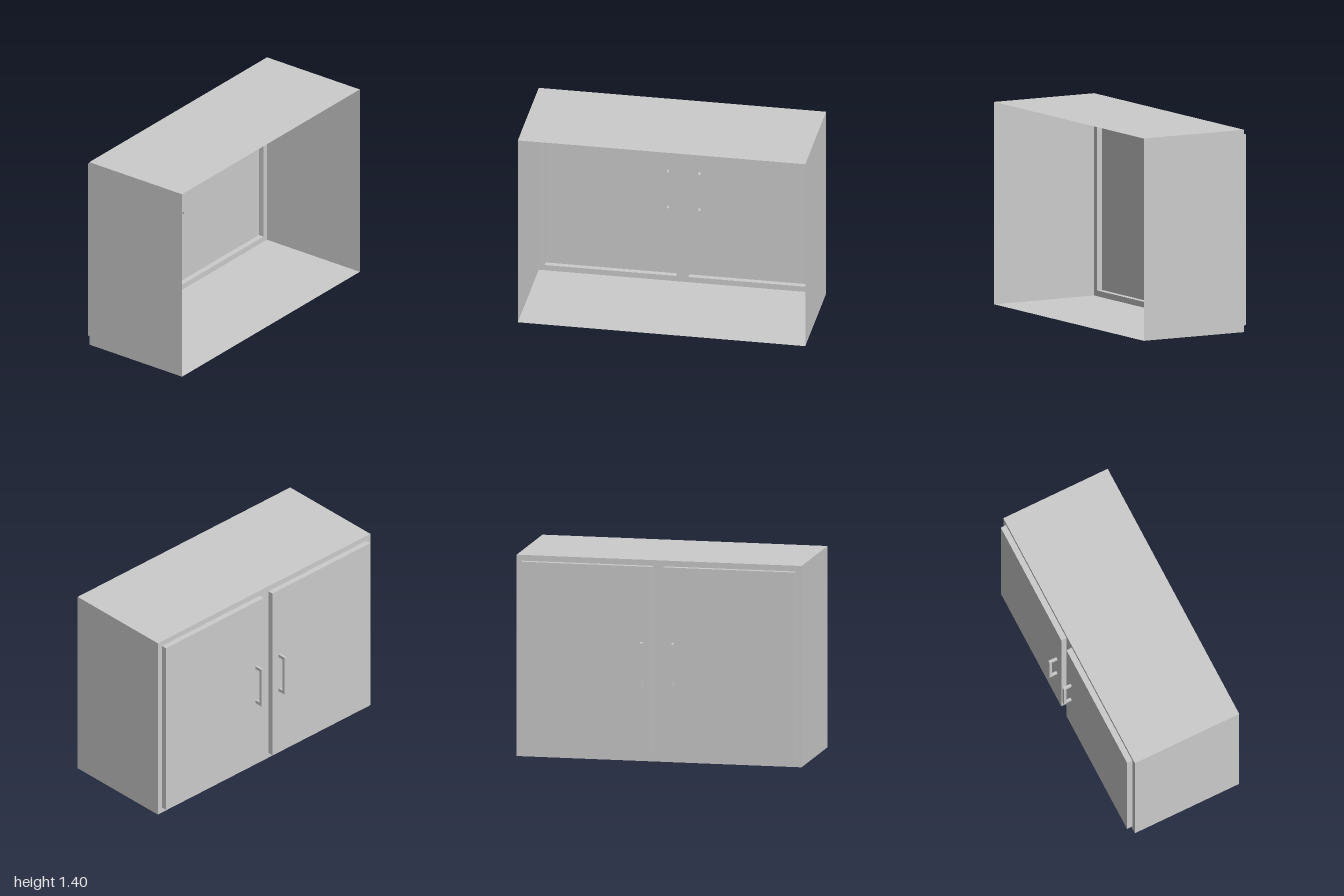
import * as THREE from 'three';

const material = new THREE.MeshStandardMaterial({ color: 0xcccccc, side: THREE.DoubleSide, flatShading: true });

const FRAME_X = -0.35, DOOR_X = -0.39, OPEN_X = 0.45, GRIP_X = -0.45;
const HEIGHT = 1.4, DEPTH = 2;
const door = { near: 0.04, far: 0.96, bottom: 0.04, top: 1.36 };
const grip = { near: 0.1, far: 0.117, bottom: 0.535, top: 0.835, bar: 0.023 };

function part(name, geometry) {
  const mesh = new THREE.Mesh(geometry, material);
  mesh.name = name;
  return mesh;
}

// Removes the triangles lying in the plane x = value
function openAt(geometry, value) {
  const g = geometry.index ? geometry.toNonIndexed() : geometry;
  const p = g.attributes.position, kept = [];
  for (let i = 0; i < p.count; i += 3) {
    const corners = [i, i + 1, i + 2];
    if (corners.every((c) => Math.abs(p.getX(c) - value) < 1e-4)) continue;
    for (const c of corners) kept.push(p.getX(c), p.getY(c), p.getZ(c));
  }
  const result = new THREE.BufferGeometry();
  result.setAttribute('position', new THREE.Float32BufferAttribute(kept, 3));
  result.computeVertexNormals();
  return result;
}

// Rectangular sleeve running along x, open at both ends
function sleeve(x0, x1, y0, y1, z0, z1) {
  const box = new THREE.BoxGeometry(x1 - x0, y1 - y0, z1 - z0);
  box.translate((x0 + x1) / 2, (y0 + y1) / 2, (z0 + z1) / 2);
  return openAt(openAt(box, x0), x1);
}

function rectangle(z0, z1, y0, y1, Type = THREE.Path) {
  return new Type([[z0, y0], [z1, y0], [z1, y1], [z0, y1]].map(([z, y]) => new THREE.Vector2(z, y)));
}

// Flat sheet facing -x, with rectangular holes
function sheet(x, outline, holes) {
  const shape = rectangle(...outline, THREE.Shape);
  shape.holes = holes.map((h) => rectangle(...h));
  return new THREE.ShapeGeometry(shape).rotateY(-Math.PI / 2).translate(x, 0, 0);
}

// Orders a z range for the door on the given side
function span(side, near, far) {
  return side > 0 ? [near, far] : [-far, -near];
}

function makeDoor(side) {
  const group = new THREE.Group();
  group.name = side > 0 ? 'frontDoor' : 'backDoor';
  const [z0, z1] = span(side, door.near, door.far);
  const [g0, g1] = span(side, grip.near, grip.far);

  // Raised hollow door with small openings behind the handle legs
  group.add(part('doorEdges', sleeve(DOOR_X, FRAME_X, door.bottom, door.top, z0, z1)));
  group.add(part('doorPanel', sheet(DOOR_X, [z0, z1, door.bottom, door.top], [
    [g0, g1, grip.bottom, grip.bottom + grip.bar],
    [g0, g1, grip.top - grip.bar, grip.top],
  ])));

  // Bracket handle
  const inner = GRIP_X + 0.02;
  const bracket = new THREE.Shape([
    [DOOR_X, grip.bottom], [DOOR_X, grip.bottom + grip.bar],
    [inner, grip.bottom + grip.bar], [inner, grip.top - grip.bar],
    [DOOR_X, grip.top - grip.bar], [DOOR_X, grip.top],
    [GRIP_X, grip.top], [GRIP_X, grip.bottom],
  ].map(([x, y]) => new THREE.Vector2(x, y)));
  const handle = new THREE.ExtrudeGeometry(bracket, { depth: g1 - g0, bevelEnabled: false });
  group.add(part('handle', openAt(handle.translate(0, 0, g0), DOOR_X)));
  return group;
}

export function createModel() {
  const model = new THREE.Group();
  model.name = 'cabinet';

  // Thin shell, open on the +x side
  model.add(part('carcass', sleeve(FRAME_X, OPEN_X, 0, HEIGHT, -DEPTH / 2, DEPTH / 2)));

  // Face frame around the two doors
  const openings = [1, -1].map((s) => [...span(s, door.near, door.far), door.bottom, door.top]);
  model.add(part('faceFrame', sheet(FRAME_X, [-DEPTH / 2, DEPTH / 2, 0, HEIGHT], openings)));

  for (const side of [1, -1]) model.add(makeDoor(side));
  return model;
}
